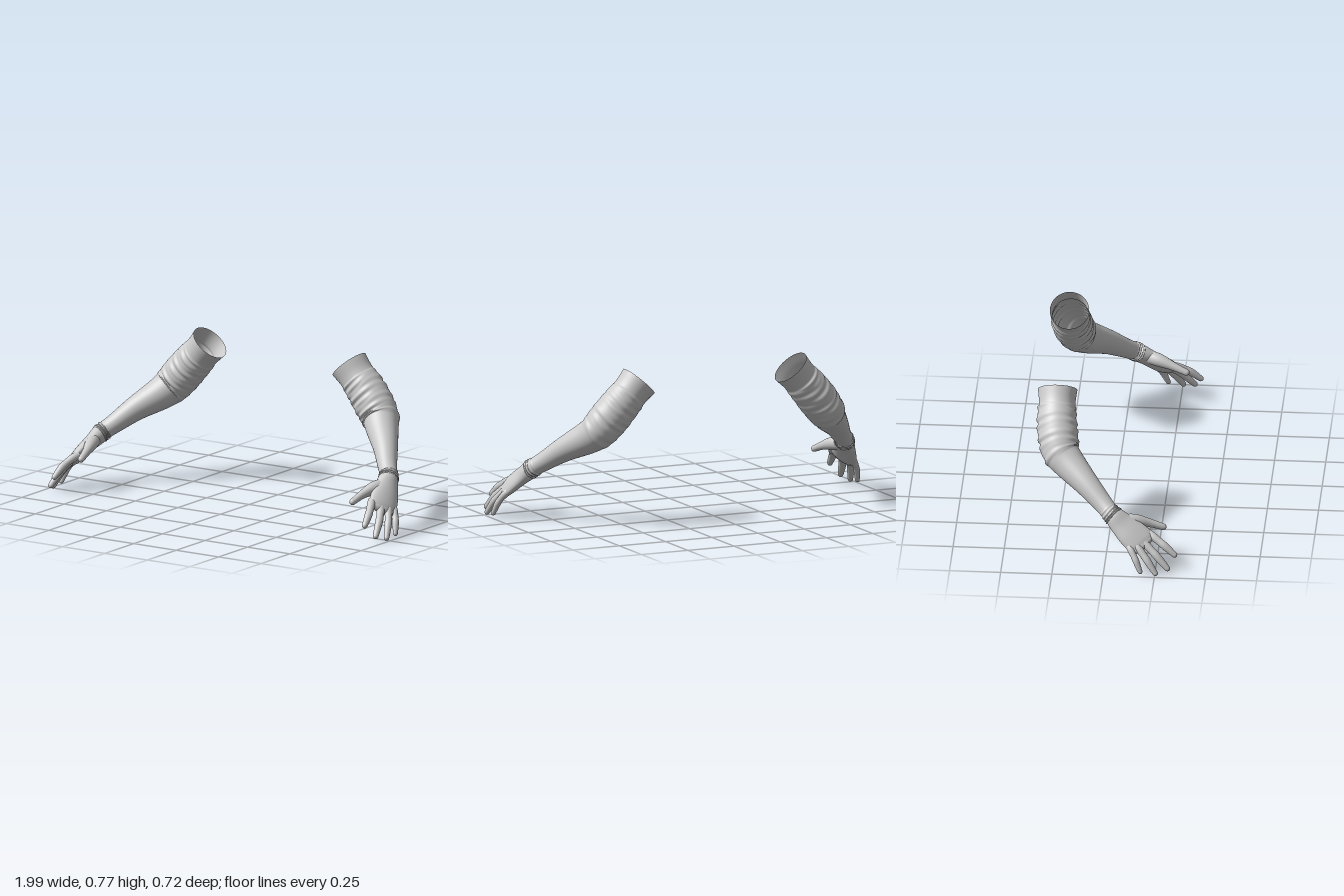
import * as THREE from 'three';

const V = (x, y, z) => new THREE.Vector3(x, y, z);
const material = new THREE.MeshStandardMaterial({ color: 0xcccccc, side: THREE.DoubleSide });
const HAND_NORMAL = V(0.76, 0.63, 0.19).normalize(); // direction the back of the hand faces

// Sweep an oval along stations [x, y, z, halfWidth, halfThickness]; side -1 mirrors it.
function loft(stations, side, { rings = 24, sides = 24, dome = true, bump = () => 0 } = {}) {
  const path = new THREE.CatmullRomCurve3(stations.map(s => V(s[0], s[1], s[2])), false, 'catmullrom', 0.5);
  const size = new THREE.CatmullRomCurve3(stations.map(s => V(s[3], s[4] ?? s[3], 0)), false, 'catmullrom', 0.5);
  const last = stations.length - 1, pos = [], index = [];
  const addRing = (t, shift, scale) => {
    const T = path.getTangent(t), r = size.getPoint(t);
    const A = V().crossVectors(T, HAND_NORMAL).normalize();
    const N = V().crossVectors(A, T);
    const c = path.getPoint(t).addScaledVector(T, shift * r.y);
    for (let j = 0; j < sides; j++) {
      const a = (j / sides) * Math.PI * 2, b = bump(t * last, a);
      const p = c.clone()
        .addScaledVector(A, Math.cos(a) * (r.x + b) * scale)
        .addScaledVector(N, Math.sin(a) * (r.y + b) * scale);
      pos.push(p.x * side, p.y, p.z);
    }
  };
  for (let i = 0; i <= rings; i++) addRing(i / rings, 0, 1);
  if (dome) for (let k = 1; k <= 6; k++) {
    const a = (k / 6) * Math.PI / 2;
    addRing(1, Math.sin(a), Math.max(Math.cos(a), 0.01));
  }
  const count = pos.length / 3 / sides;
  for (let i = 0; i < count - 1; i++) for (let j = 0; j < sides; j++) {
    const k = (j + 1) % sides;
    const a = i * sides + j, b = i * sides + k, c = a + sides, d = b + sides;
    if (side > 0) index.push(a, c, b, b, c, d);
    else index.push(a, b, c, b, d, c);
  }
  const g = new THREE.BufferGeometry();
  g.setAttribute('position', new THREE.Float32BufferAttribute(pos, 3));
  g.setIndex(index);
  g.computeVertexNormals();
  return g;
}

// Shoulder opening to wrist
const SLEEVE = [
  [0.41, 0.71, -0.263, 0.096], [0.455, 0.66, -0.262, 0.089], [0.51, 0.6, -0.26, 0.093],
  [0.565, 0.535, -0.25, 0.095], [0.615, 0.475, -0.232, 0.089], [0.655, 0.435, -0.19, 0.08],
  [0.735, 0.37, -0.1, 0.061], [0.8, 0.305, -0.02, 0.048], [0.835, 0.272, 0.02, 0.044],
  [0.852, 0.252, 0.047, 0.049, 0.044],
];

// Bunched cloth around the elbow and at the wrist
function folds(u, a) {
  const step = (e0, e1) => THREE.MathUtils.smoothstep(u, e0, e1);
  const elbow = step(1.2, 1.35) * (1 - step(4.2, 4.5));
  const wrist = step(7.7, 8) * (1 - step(8.8, 9));
  const wave = Math.sin(u * 11 + 1.6 * Math.sin(a + 0.6)) + 0.6 * Math.sin(u * 17 - 2 * Math.cos(a * 2));
  return elbow * (0.003 + 0.003 * wave * (0.6 + 0.4 * Math.cos(2 * a)))
    + wrist * (0.002 + 0.003 * Math.sin(u * 18 + Math.sin(a * 2)));
}

const PALM = [
  [0.845, 0.264, 0.03, 0.043, 0.04], [0.852, 0.25, 0.05, 0.051, 0.044],
  [0.868, 0.222, 0.085, 0.061, 0.037], [0.888, 0.187, 0.13, 0.072, 0.033],
  [0.904, 0.155, 0.172, 0.075, 0.028], [0.913, 0.14, 0.19, 0.067, 0.022],
];

const THUMB = [
  [0.855, 0.235, 0.08, 0.032], [0.832, 0.226, 0.145, 0.032],
  [0.812, 0.205, 0.215, 0.021], [0.8, 0.18, 0.28, 0.016],
];

// name, knuckle, fingertip, radius
const FINGERS = [
  ['indexFinger', V(0.877, 0.165, 0.235), V(0.914, 0.088, 0.343), 0.019],
  ['middleFinger', V(0.908, 0.145, 0.195), V(0.957, 0.034, 0.311), 0.019],
  ['ringFinger', V(0.933, 0.128, 0.168), V(0.982, 0.018, 0.254), 0.018],
  ['littleFinger', V(0.944, 0.122, 0.132), V(0.984, 0.026, 0.18), 0.016],
];

// Finger stations from inside the palm to the tip, slightly arched
function fingerStations(base, tip, r) {
  return [[-0.25, -0.006, 1], [0, 0.002, 1.08], [0.28, 0.007, 0.96], [0.52, 0.008, 1], [0.78, 0.004, 0.88], [1, 0, 0.72]]
    .map(([t, lift, k]) => {
      const p = base.clone().lerp(tip, t).addScaledVector(HAND_NORMAL, lift);
      return [p.x, p.y, p.z, r * k];
    });
}

function buildArm(side) {
  const arm = new THREE.Group();
  arm.name = side > 0 ? 'leftArm' : 'rightArm';
  const add = (name, geometry) => {
    const mesh = new THREE.Mesh(geometry, material);
    mesh.name = name;
    arm.add(mesh);
  };
  add('sleeve', loft(SLEEVE, side, { rings: 170, sides: 48, dome: false, bump: folds }));
  add('palm', loft(PALM, side, { rings: 30, sides: 32 }));
  add('thumb', loft(THUMB, side));
  for (const [name, base, tip, r] of FINGERS) add(name, loft(fingerStations(base, tip, r), side));
  return arm;
}

export function createModel() {
  const model = new THREE.Group();
  model.name = 'glovedArms';
  model.add(buildArm(1), buildArm(-1));
  return model;
}
